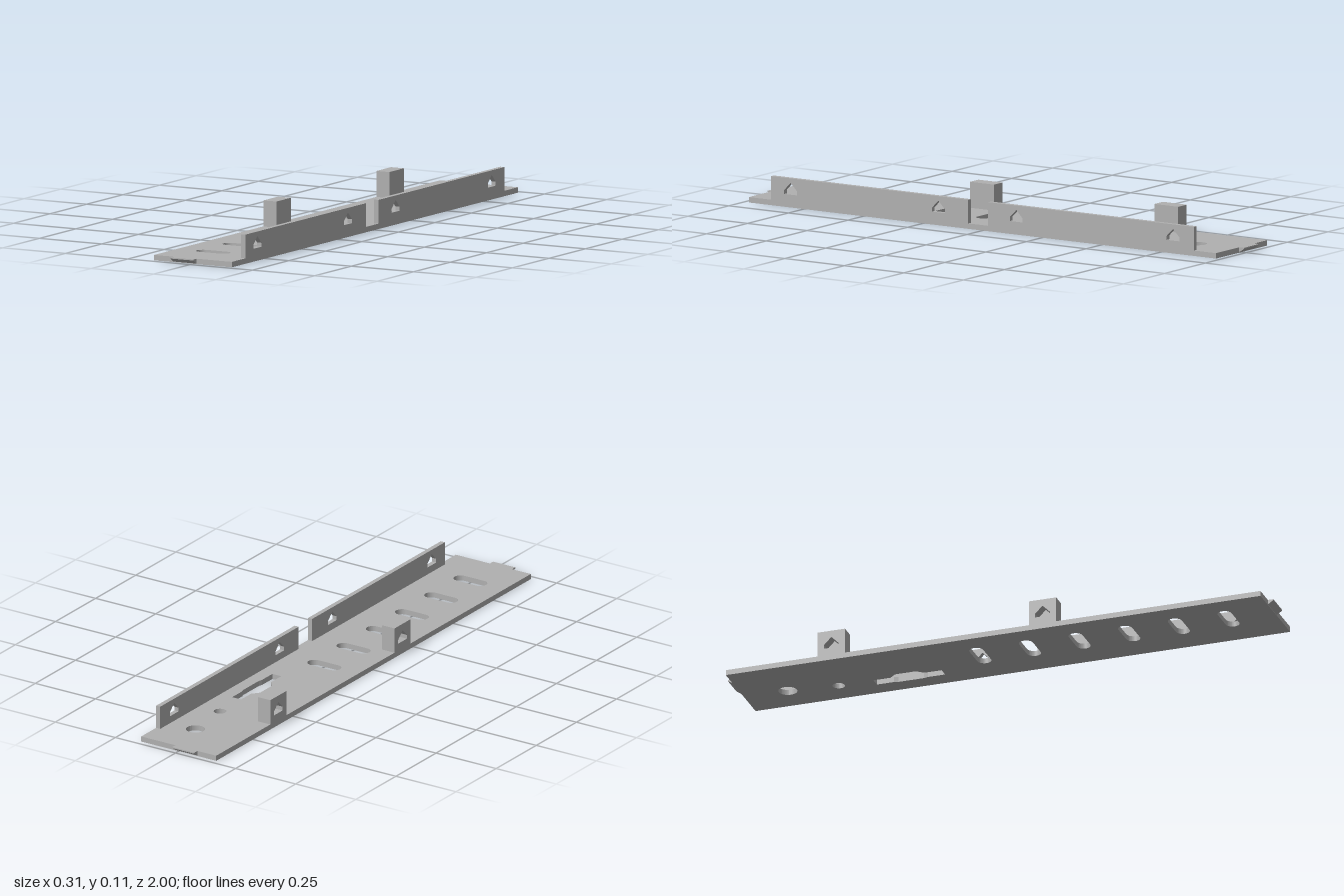
import * as THREE from 'three';

const T = 0.019;          // plate thickness
const HALF_W = 0.156;     // half plate width
const END = 0.98;         // half plate length

const polygon = (points, Type = THREE.Path) => new Type(points.map(([a, b]) => new THREE.Vector2(a, b)));
const rect = (x0, x1, y0, y1) => polygon([[x0, y0], [x1, y0], [x1, y1], [x0, y1]], THREE.Shape);
const circle = (x, y, r) => new THREE.Path().absarc(x, y, r, 0, Math.PI * 2);

// House-shaped five-sided hole centred on s
const houseHole = (s) => polygon([
  [s - 0.027, 0.045], [s + 0.027, 0.045], [s + 0.027, 0.059], [s, 0.086], [s - 0.027, 0.059],
]);

// Rounded slot running across x
function slot(z, x0 = -0.081, x1 = 0.05, r = 0.025) {
  const p = new THREE.Path();
  p.absarc(x1 - r, z, r, -Math.PI / 2, Math.PI / 2);
  p.absarc(x0 + r, z, r, Math.PI / 2, Math.PI * 1.5);
  p.closePath();
  return p;
}

const extrude = (shape, depth) =>
  new THREE.ExtrudeGeometry(shape, { depth, bevelEnabled: false, curveSegments: 16 });

// Extrudes a (-z, y) profile along x, from x0 to x1
const extrudeX = (shape, x0, x1) => extrude(shape, x1 - x0).rotateY(Math.PI / 2).translate(x0, 0, 0);

export function createModel() {
  const model = new THREE.Group();
  model.name = 'mountingRail';
  const grey = new THREE.MeshStandardMaterial({ color: 0xb0b0b0 });
  grey.name = 'grey';

  const add = (geometry, name, parent = model) => {
    const mesh = new THREE.Mesh(geometry, grey);
    mesh.name = name;
    parent.add(mesh);
  };

  // Base plate, drawn in (x, z), with slots, round holes and the stepped opening
  const base = rect(-HALF_W, HALF_W, -END, END);
  for (let i = 0; i < 6; i++) base.holes.push(slot(-0.096 + i * 0.182));
  base.holes.push(circle(0.037, -0.82, 0.033), circle(0.055, -0.64, 0.022));
  base.holes.push(polygon([
    [0.053, -0.512], [0.09, -0.512], [0.09, -0.45], [0.094, -0.435], [0.094, -0.34], [0.09, -0.325],
    [0.09, -0.262], [0.053, -0.262], [0.053, -0.325], [0.032, -0.35], [0.032, -0.425], [0.053, -0.45],
  ]));
  add(extrude(base, T).rotateX(Math.PI / 2).translate(0, T, 0), 'basePlate');

  // End tabs with a sloping underside
  for (const [side, name] of [[1, 'backTab'], [-1, 'frontTab']]) {
    const wedge = polygon([
      [side * END, 0.002], [side, 0.015], [side, T], [side * END, T],
    ], THREE.Shape);
    add(extrudeX(wedge, -0.078, 0.014), name);
  }

  // Upright flanges along the left edge
  const flanges = [
    ['frontFlange', 0.06, 0.887, [0.185, 0.805]],
    ['backFlange', -0.887, -0.024, [-0.8, -0.142]],
  ];
  for (const [name, z0, z1, holes] of flanges) {
    const wall = rect(-z1, -z0, T, 0.102);
    for (const z of holes) wall.holes.push(houseHole(-z));
    add(extrudeX(wall, 0.139, HALF_W), name);
  }

  // Blocks along the right edge, each with a blind hole on its outer side
  for (const [name, z] of [['frontBlock', 0.181], ['backBlock', -0.593]]) {
    const block = new THREE.Group();
    block.name = name;
    const outline = () => rect(-z - 0.05, -z + 0.05, T, 0.11);
    const outer = outline();
    outer.holes.push(houseHole(-z));
    add(extrudeX(outer, -HALF_W, -0.12), 'outerBlock', block);
    add(extrudeX(outline(), -0.12, -0.104), 'blockBack', block);
    model.add(block);
  }

  return model;
}
